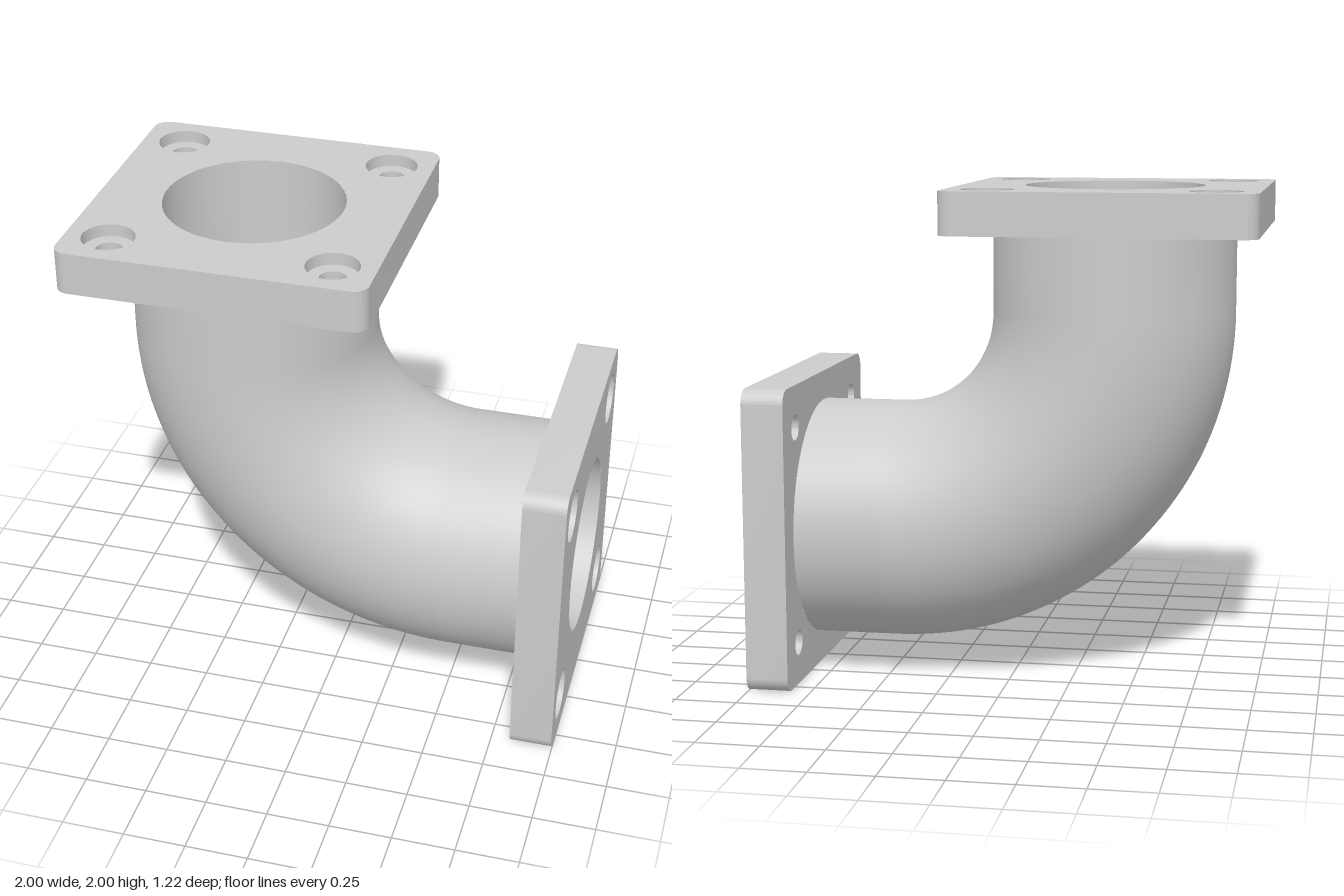
import * as THREE from 'three';
import { mergeGeometries, toCreasedNormals } from 'three/addons/utils/BufferGeometryUtils.js';

const SEG = 64;
const HALF = 0.61, THICK = 0.17, CORNER = 0.06;        // square flange
const OUTER = 0.49, BORE = 0.36;                       // pipe radii
const BEND = 0.88, LEG = 0.34;                         // bend radius, straight length
const BOLT = 0.44, HOLE = 0.052, SINK = 0.104, SINK_DEPTH = 0.05;

const material = new THREE.MeshStandardMaterial({ color: 0xcccccc });
const insideMaterial = new THREE.MeshStandardMaterial({ color: 0xcccccc, side: THREE.DoubleSide });

const boltSpots = [[1, 1], [-1, 1], [-1, -1], [1, -1]].map(([x, y]) => [x * BOLT, y * BOLT]);

// Rounded square with a centre hole and four bolt holes
function plateShape(centreRadius, boltRadius) {
  const shape = new THREE.Shape();
  const c = HALF - CORNER;
  [[c, c], [-c, c], [-c, -c], [c, -c]].forEach(([x, y], i) =>
    shape.absarc(x, y, CORNER, i * Math.PI / 2, (i + 1) * Math.PI / 2, false));
  shape.closePath();
  const cut = (x, y, r) => shape.holes.push(new THREE.Path().absarc(x, y, r, 0, Math.PI * 2, true));
  if (centreRadius) cut(0, 0, centreRadius);
  if (boltRadius) boltSpots.forEach(([x, y]) => cut(x, y, boltRadius));
  return shape;
}

// Surface of revolution about y; a profile running downwards faces inwards
function revolve(profile) {
  const points = profile.map(([r, y]) => new THREE.Vector2(r, y));
  return toCreasedNormals(new THREE.LatheGeometry(points, SEG), 0.6);
}

// Outer edge of the flange: the side walls of an extrusion, without its caps
function rimGeometry() {
  const solid = new THREE.ExtrudeGeometry(plateShape(0, 0), { depth: THICK, bevelEnabled: false, curveSegments: 8 });
  const { start, count } = solid.groups[1];
  const rim = new THREE.BufferGeometry();
  for (const name of ['position', 'normal', 'uv']) {
    const { array, itemSize } = solid.attributes[name];
    rim.setAttribute(name, new THREE.BufferAttribute(array.slice(start * itemSize, (start + count) * itemSize), itemSize));
  }
  return toCreasedNormals(rim.rotateX(-Math.PI / 2), 0.6);
}

function flangeGeometry() {
  const face = new THREE.ShapeGeometry(plateShape(BORE, SINK), SEG)
    .rotateX(-Math.PI / 2).translate(0, THICK, 0).toNonIndexed();
  const back = new THREE.ShapeGeometry(plateShape(OUTER, HOLE), SEG)
    .rotateX(Math.PI / 2).toNonIndexed();
  // Counterbored bolt holes
  const floor = THICK - SINK_DEPTH;
  const holes = boltSpots.map(([x, z]) =>
    revolve([[SINK, THICK], [SINK, floor], [HOLE, floor], [HOLE, 0]]).translate(x, 0, z));
  return mergeGeometries([face, back, rimGeometry(), ...holes]);
}

function addMesh(parent, name, geometry, mat = material) {
  const mesh = new THREE.Mesh(geometry, mat);
  mesh.name = name;
  parent.add(mesh);
  return mesh;
}

// Flange with its straight pipe length; the open face points to +y
function pipeEnd(name) {
  const end = new THREE.Group();
  end.name = name;
  addMesh(end, 'flange', flangeGeometry());
  addMesh(end, 'straightPipe', revolve([[OUTER, -LEG], [OUTER, 0]]));
  addMesh(end, 'straightBore', revolve([[BORE, THICK], [BORE, -LEG]]));
  return end;
}

export function createModel() {
  const model = new THREE.Group();
  model.name = 'flangedElbow';

  const topEnd = pipeEnd('topEnd');
  topEnd.position.set(-0.39, 1.83, 0);
  const sideEnd = pipeEnd('sideEnd');
  sideEnd.rotation.z = -Math.PI / 2;
  sideEnd.position.set(0.83, 0.61, 0);
  model.add(topEnd, sideEnd);

  // Quarter-turn bend, outside and bore
  const bend = r => new THREE.TorusGeometry(BEND, r, SEG, 48, Math.PI / 2)
    .rotateZ(Math.PI).translate(0.49, 1.49, 0);
  addMesh(model, 'bendOutside', bend(OUTER));
  addMesh(model, 'bendBore', bend(BORE), insideMaterial);

  return model;
}
